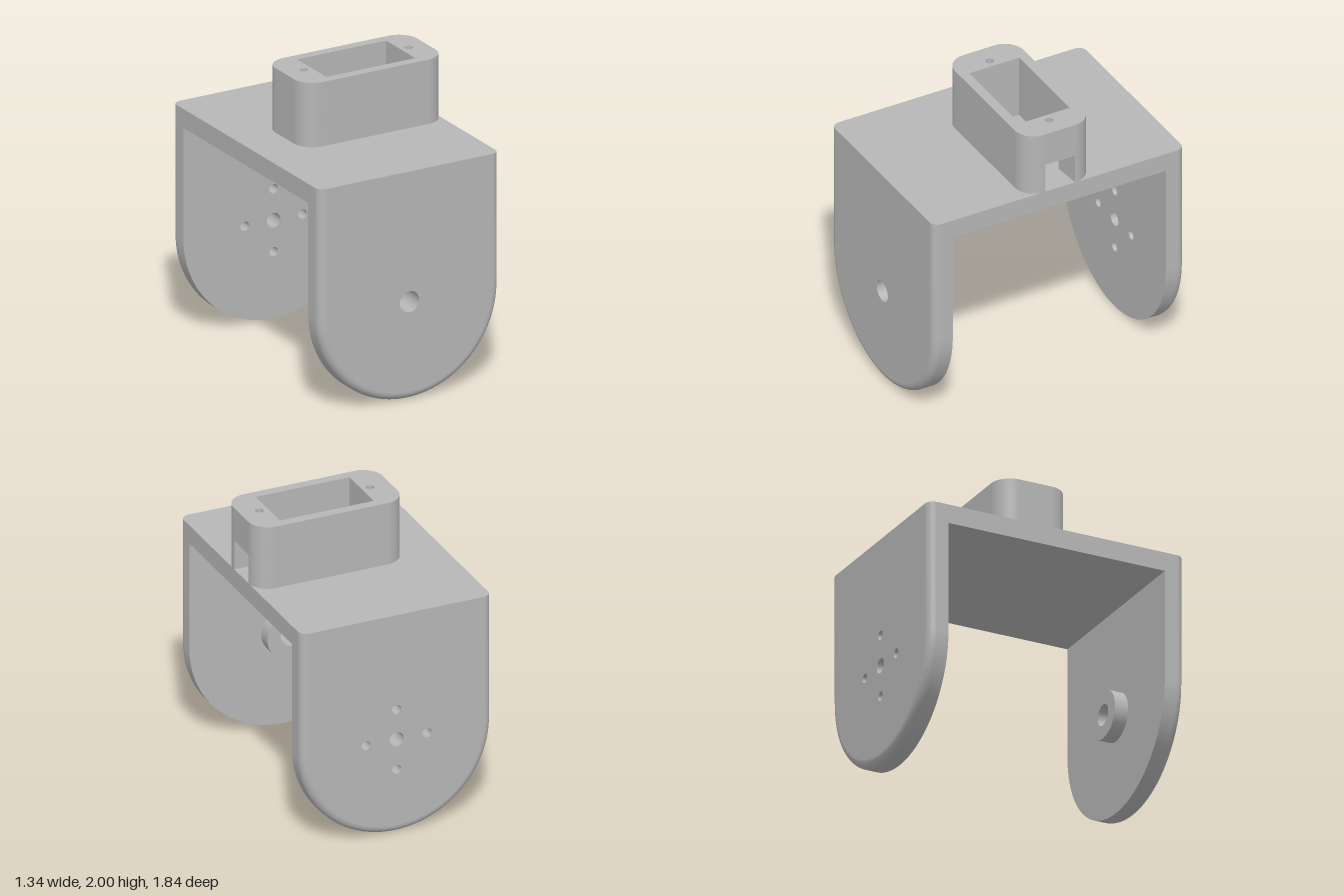
import * as THREE from 'three';
import { toCreasedNormals } from 'three/addons/utils/BufferGeometryUtils.js';

const W = 0.67, TOP = 1.56, INNER = 0.78, OUTER = 0.92, FILLET = 0.055, AXIS_Y = 0.67;

const circle = (x, y, r) => new THREE.Path().absarc(x, y, r, 0, Math.PI * 2, true);

// U-shaped leg outline, inset by d on the sides and the round end
function outline(d) {
  const r = W - d, pts = [new THREE.Vector2(r, TOP)];
  for (let i = 0; i <= 64; i++) {
    const a = -Math.PI * i / 64;
    pts.push(new THREE.Vector2(r * Math.cos(a), AXIS_Y + r * Math.sin(a)));
  }
  pts.push(new THREE.Vector2(-r, TOP));
  return pts;
}

// Inset and depth pairs across the leg's thickness, ending in a rounded edge
function edgeProfile() {
  const rows = [[0, INNER]];
  for (let i = 0; i <= 10; i++) {
    const t = Math.PI / 2 * i / 10;
    rows.push([FILLET * (1 - Math.cos(t)), OUTER - FILLET + FILLET * Math.sin(t)]);
  }
  return rows;
}

function rimGeometry() {
  const pos = [], index = [], rows = edgeProfile();
  const n = outline(0).length;
  rows.forEach(([d, z], j) => {
    outline(d).forEach((p) => pos.push(p.x, p.y, z));
    if (j === 0) return;
    for (let i = 0; i < n - 1; i++) {
      const a = (j - 1) * n + i, b = a + 1, e = a + n, c = e + 1;
      index.push(a, e, b, e, c, b);
    }
  });
  const g = new THREE.BufferGeometry();
  g.setAttribute('position', new THREE.Float32BufferAttribute(pos, 3));
  g.setIndex(index);
  g.computeVertexNormals();
  return g;
}

function faceGeometry(d, holes) {
  const s = new THREE.Shape(outline(d));
  holes.forEach(([x, y, r]) => s.holes.push(circle(x, y, r)));
  return new THREE.ShapeGeometry(s, 16);
}

// Open tube facing inward, lining a hole through the leg
function boreGeometry([x, y, r]) {
  const g = new THREE.CylinderGeometry(r, r, OUTER - INNER, 32, 1, true);
  g.rotateX(Math.PI / 2).scale(-1, 1, 1);
  g.computeVertexNormals();
  return g.translate(x, y, (OUTER + INNER) / 2);
}

function extrude(shape, depth) {
  const g = new THREE.ExtrudeGeometry(shape, { depth, bevelEnabled: false, curveSegments: 24 });
  return toCreasedNormals(g, Math.PI / 6);
}

export function createModel() {
  const model = new THREE.Group();
  model.name = 'servoBracket';
  const grey = new THREE.MeshStandardMaterial({ color: 0xb6b6b6 });
  grey.name = 'plainGrey';

  const add = (parent, name, geometry) => {
    const m = new THREE.Mesh(geometry, grey);
    m.name = name;
    parent.add(m);
    return m;
  };

  function makeLeg(name, holes) {
    const leg = new THREE.Group();
    leg.name = name;
    add(leg, 'roundedRim', rimGeometry());
    add(leg, 'outerFace', faceGeometry(FILLET, holes).translate(0, 0, OUTER));
    add(leg, 'innerFace', faceGeometry(0, holes).rotateY(Math.PI).translate(0, 0, INNER));
    const rows = edgeProfile();
    const cap = rows.map(([d, z]) => new THREE.Vector2(W - d, -z));
    rows.slice().reverse().forEach(([d, z]) => cap.push(new THREE.Vector2(d - W, -z)));
    add(leg, 'topEnd', new THREE.ShapeGeometry(new THREE.Shape(cap)).rotateX(-Math.PI / 2).translate(0, TOP, 0));
    holes.forEach((h) => add(leg, 'bore', boreGeometry(h)));
    model.add(leg);
    return leg;
  }

  // Front leg with a pivot hole and an inner boss
  const front = makeLeg('frontLeg', [[0, AXIS_Y, 0.072]]);
  const ring = new THREE.Shape().absarc(0, AXIS_Y, 0.165, 0, Math.PI * 2, false);
  ring.holes.push(circle(0, AXIS_Y, 0.072));
  add(front, 'pivotBoss', extrude(ring, 0.095).translate(0, 0, INNER - 0.095));

  // Back leg with a centre hole and four screw holes
  const holes = [[0, AXIS_Y, 0.05]];
  for (let i = 0; i < 4; i++) {
    const a = i * Math.PI / 2;
    holes.push([0.215 * Math.cos(a), AXIS_Y + 0.215 * Math.sin(a), 0.032]);
  }
  makeLeg('backLeg', holes).rotation.y = Math.PI;

  // Plate joining the legs
  add(model, 'topPlate', new THREE.BoxGeometry(2 * W, 0.13, 2 * INNER).translate(0, TOP - 0.065, 0));

  // Socket: a rounded block with a pocket; the lower part is open at +x for the cable
  const x0 = -0.38, x1 = W, h = 0.25, r = 0.135, p0 = -0.18, p1 = 0.48, q = 0.183, slot = 0.1, slotTop = 1.765;
  const startBlock = () => {
    const s = new THREE.Shape();
    s.moveTo(x1, slot);
    s.absarc(x1 - r, h - r, r, 0, Math.PI / 2, false);
    s.absarc(x0 + r, h - r, r, Math.PI / 2, Math.PI, false);
    s.absarc(x0 + r, r - h, r, Math.PI, Math.PI * 1.5, false);
    s.absarc(x1 - r, r - h, r, Math.PI * 1.5, Math.PI * 2, false);
    s.lineTo(x1, -slot);
    return s;
  };
  const lower = startBlock();
  [[p1, -slot], [p1, -q], [p0, -q], [p0, q], [p1, q], [p1, slot]].forEach(([x, y]) => lower.lineTo(x, y));
  lower.closePath();

  const upper = startBlock();
  upper.closePath();
  upper.holes.push(new THREE.Path([[p0, -q], [p0, q], [p1, q], [p1, -q]].map(([x, y]) => new THREE.Vector2(x, y))));
  [-0.24, 0.54].forEach((x) => upper.holes.push(circle(x, 0, 0.027)));

  const socket = new THREE.Group();
  socket.name = 'socket';
  add(socket, 'socketBase', extrude(lower, slotTop - TOP).rotateX(-Math.PI / 2).translate(0, TOP, 0));
  add(socket, 'socketTop', extrude(upper, 2 - slotTop).rotateX(-Math.PI / 2).translate(0, slotTop, 0));
  model.add(socket);

  return model;
}
